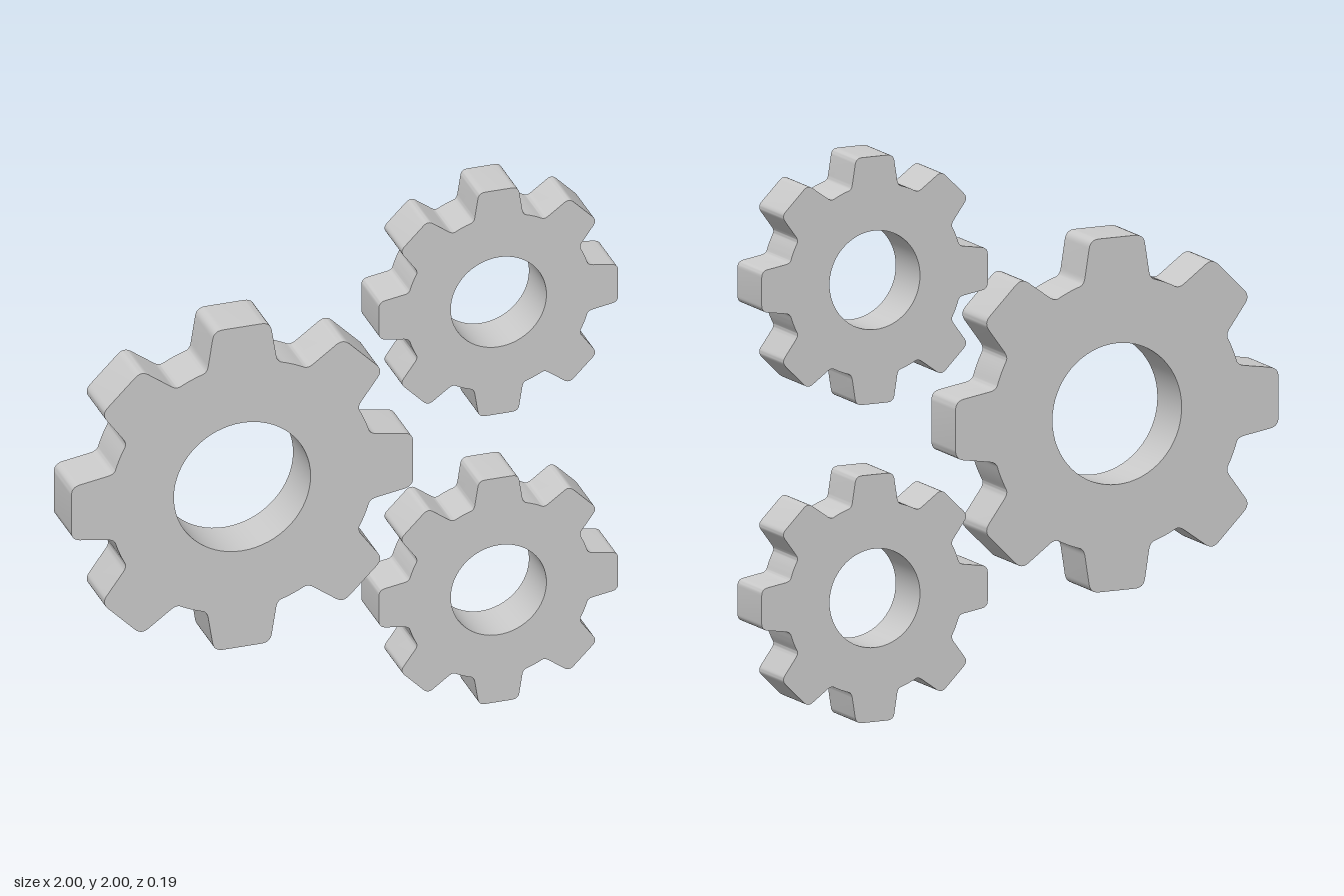
import * as THREE from 'three';
import { toCreasedNormals } from 'three/addons/utils/BufferGeometryUtils.js';

const TEETH = 8;
const DEPTH = 0.1875;

// Flat gear outline with rounded teeth and a round bore; scale 1 has a tip radius of 0.625
function gearShape(scale) {
  const shape = new THREE.Shape();
  const step = (Math.PI * 2) / TEETH;
  for (let i = 0; i < TEETH; i++) {
    const c = Math.cos(i * step), s = Math.sin(i * step);
    // point in the upright tooth's frame, turned clockwise to tooth i
    const p = (x, y) => [scale * (x * c + y * s), scale * (y * c - x * s)];
    if (i === 0) shape.moveTo(...p(-0.144, 0.463));
    // left root fillet, flank and tip corner
    shape.quadraticCurveTo(...p(-0.128, 0.468), ...p(-0.124, 0.493));
    shape.lineTo(...p(-0.108, 0.594));
    shape.quadraticCurveTo(...p(-0.103, 0.625), ...p(-0.07, 0.625));
    // tip, then the right side mirrored
    shape.lineTo(...p(0.07, 0.625));
    shape.quadraticCurveTo(...p(0.103, 0.625), ...p(0.108, 0.594));
    shape.lineTo(...p(0.124, 0.493));
    shape.quadraticCurveTo(...p(0.128, 0.468), ...p(0.144, 0.463));
    // root arc to the next tooth
    const r = 0.487, a = step / 2;
    const m = p(r * Math.sin(a), r * Math.cos(a));
    const e = p(0.144 * Math.cos(step) + 0.463 * Math.sin(step) - 0.288 * Math.cos(step),
      0.463 * Math.cos(step) + 0.144 * Math.sin(step));
    shape.quadraticCurveTo(...m, ...e);
  }
  // bore
  const bore = [];
  for (let i = 0; i < 64; i++) {
    const a = (i / 64) * Math.PI * 2;
    bore.push(new THREE.Vector2(0.25 * scale * Math.cos(a), 0.25 * scale * Math.sin(a)));
  }
  shape.holes.push(new THREE.Path().setFromPoints(bore));
  return shape;
}

export function createModel() {
  const group = new THREE.Group();
  group.name = 'gears';
  const material = new THREE.MeshStandardMaterial({ color: 0xcccccc });

  function addGear(name, scale, x, y) {
    const extruded = new THREE.ExtrudeGeometry(gearShape(scale), {
      depth: DEPTH, bevelEnabled: false, curveSegments: 6,
    });
    extruded.translate(0, 0, -DEPTH / 2);
    const gear = new THREE.Mesh(toCreasedNormals(extruded, 0.6), material);
    gear.name = name;
    gear.position.set(x, y, 0);
    group.add(gear);
  }

  addGear('largeGear', 1, -0.375, 1);
  addGear('upperSmallGear', 0.7, 0.5625, 1.5625);
  addGear('lowerSmallGear', 0.7, 0.5625, 0.4375);
  return group;
}
